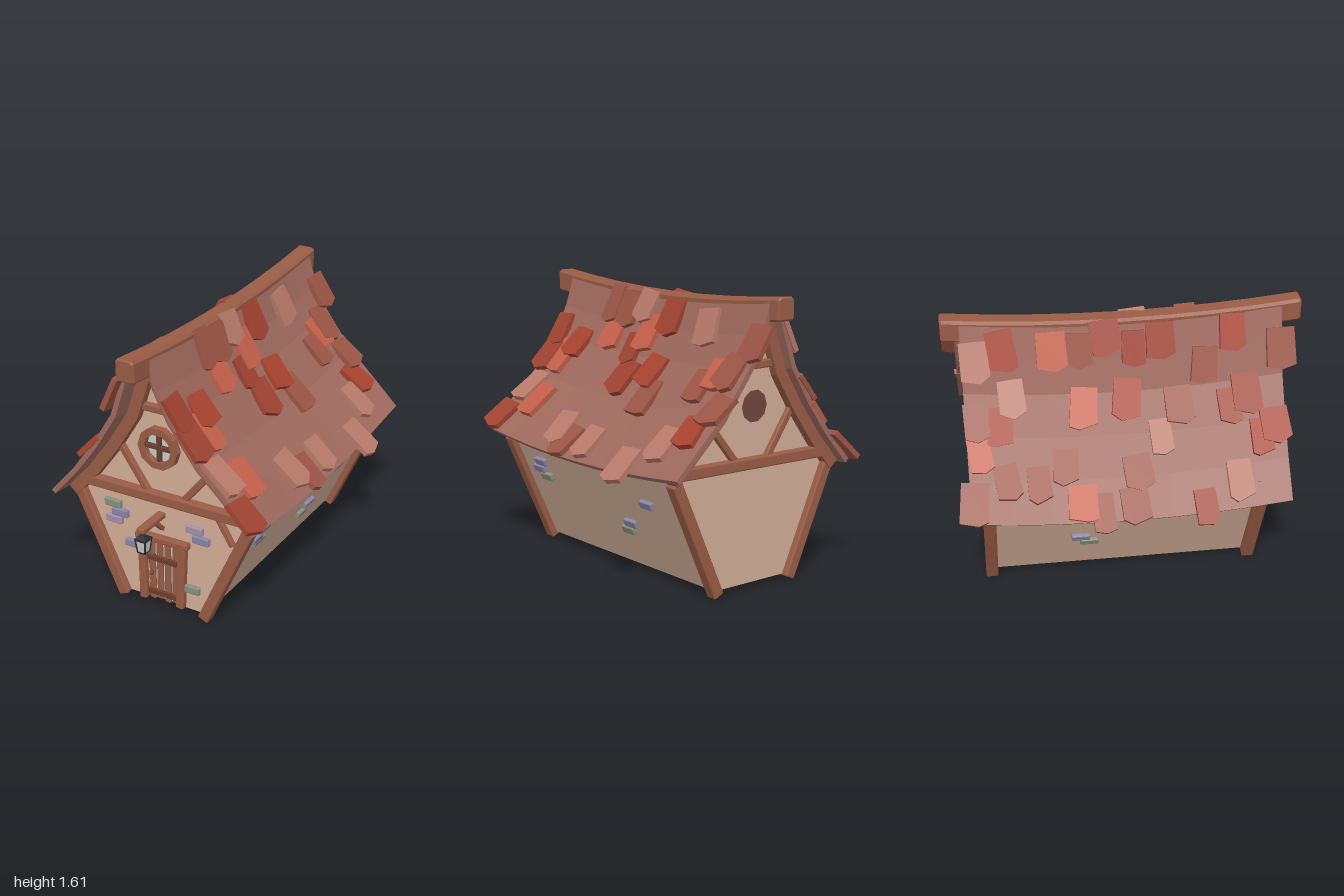
import * as THREE from 'three';
import { RoundedBoxGeometry } from 'three/addons/geometries/RoundedBoxGeometry.js';

const mat = (color, side = THREE.FrontSide) => new THREE.MeshStandardMaterial({ color, flatShading: true, side });
const wood = mat(0x9a5c46), darkWood = mat(0x6b3d2e), wall = mat(0xd2ae98, THREE.DoubleSide);
const roofMat = mat(0xa06a5e), glass = mat(0xc4cccc, THREE.DoubleSide), iron = mat(0x2c2c30);
const tileMats = [0xc4604a, 0xa04331, 0xb87a6a, 0x9c5545, 0xa8432f].map(c => mat(c));
const brickMats = [mat(0x8c84a6), mat(0x86907f), mat(0xa890aa)];

let seed = 7;
const rnd = (a, b) => { seed = (seed * 16807) % 2147483647; return a + (b - a) * seed / 2147483647; };
const sag = z => 0.055 * (1 - Math.min(1, (z / 0.9) ** 2));

// Roof slopes from ridge to eave
const V = (x, y) => new THREE.Vector2(x, y);
const slopes = {
  left: [V(-0.116, 1.59), V(-0.175, 1.4), V(-0.235, 1.22), V(-0.36, 1.02), V(-0.5, 0.83), V(-0.66, 0.65)],
  right: [V(-0.014, 1.59), V(0.045, 1.41), V(0.125, 1.25), V(0.29, 1.03), V(0.46, 0.87), V(0.615, 0.72)],
};

// Slope points moved along their outward normals
function offset(pts, d) {
  const s = Math.sign(pts[5].x);
  return pts.map((p, i) => {
    const t = pts[Math.min(i + 1, 5)].clone().sub(pts[Math.max(i - 1, 0)]).normalize();
    return V(p.x - t.y * s * d, p.y + t.x * s * d);
  });
}

export function createModel() {
  const house = new THREE.Group();
  house.name = 'cottage';
  const add = (name, geo, m, x = 0, y = 0, z = 0, parent = house) => {
    const mesh = new THREE.Mesh(geo, m);
    mesh.name = name;
    mesh.position.set(x, y, z);
    parent.add(mesh);
    return mesh;
  };
  const box = (w, h, d, r = 0.008) => new RoundedBoxGeometry(w, h, d, 1, r);
  // Timber between two points of a plane facing z
  const beam = (name, x1, y1, x2, y2, w, z, d) => {
    const b = add(name, box(Math.hypot(x2 - x1, y2 - y1), w, d), wood, (x1 + x2) / 2, (y1 + y2) / 2, z);
    b.rotation.z = Math.atan2(y2 - y1, x2 - x1);
  };
  // Curved, sagging slab that follows a roof slope
  const slab = (name, pts, z0, z1, top, bottom, segs, m) => {
    const geo = new THREE.BoxGeometry(1, 1, 1, 5, 1, segs), pos = geo.attributes.position;
    const outer = offset(pts, top), inner = offset(pts, bottom), right = pts[5].x > 0;
    for (let i = 0; i < pos.count; i++) {
      const k = Math.round((pos.getX(i) + 0.5) * 5);
      const p = (pos.getY(i) > 0 ? outer : inner)[right ? k : 5 - k];
      const z = z0 + (pos.getZ(i) + 0.5) * (z1 - z0);
      pos.setXYZ(i, p.x, p.y - sag(z), z);
    }
    geo.computeVertexNormals();
    add(name, geo, m);
  };

  // Gable walls with a round window opening, the front one with a doorway
  const inL = offset(slopes.left, -0.05), inR = offset(slopes.right, -0.05);
  const roofLine = [V(0.53, 0.68), ...inR.slice(1, 5).reverse(), V(-0.065, 1.47), ...inL.slice(1, 5), V(-0.56, 0.66)];
  const doorway = [V(-0.13, 0.03), V(-0.13, 0.42), V(0.09, 0.42), V(0.09, 0.03)];
  for (const [name, z, opening] of [['frontWall', 0.72, doorway], ['backWall', -0.79, []]]) {
    const gable = new THREE.Shape([V(-0.27, 0.03), ...opening, V(0.24, 0.03), ...roofLine]);
    gable.holes.push(new THREE.Path().absarc(-0.03, 1.01, 0.09, 0, Math.PI * 2, true));
    add(name, new THREE.ShapeGeometry(gable, 5), wall, 0, 0, z);
  }

  // Leaning side walls
  for (const [name, xb, xt, yt] of [['leftSideWall', 0.24, 0.54, 0.7], ['rightSideWall', -0.27, -0.57, 0.68]]) {
    const geo = new THREE.PlaneGeometry(1, 1), pos = geo.attributes.position;
    for (let i = 0; i < 4; i++) {
      const up = pos.getY(i) > 0;
      pos.setXYZ(i, up ? xt : xb, up ? yt : 0.03, pos.getX(i) > 0 ? 0.72 : -0.79);
    }
    geo.computeVertexNormals();
    add(name, geo, wall);
  }

  // Timber frame on both gables
  for (const [end, z] of [['front', 0.725], ['back', -0.795]]) {
    beam(end + 'RightPost', -0.283, 0.01, -0.575, 0.65, 0.066, z, 0.07);
    beam(end + 'LeftPost', 0.238, 0.01, 0.53, 0.67, 0.066, z, 0.07);
    beam(end + 'TieBeam', -0.575, 0.7, 0.565, 0.715, 0.062, z + Math.sign(z) * 0.006, 0.075);
    beam(end + 'CollarBeam', -0.16, 1.237, 0.07, 1.237, 0.045, z, 0.05);
    beam(end + 'RightStrut', -0.29, 0.98, -0.11, 0.72, 0.04, z, 0.045);
    beam(end + 'LeftStrut', 0.29, 0.94, 0.11, 0.72, 0.04, z, 0.045);
  }
  beam('kneeBrace', 0.33, 0.68, 0.42, 0.53, 0.035, 0.725, 0.04);

  // Roof slopes, barge boards and ridge beam
  slab('rightRoof', slopes.left, -0.89, 0.88, 0, -0.03, 8, roofMat);
  slab('leftRoof', slopes.right, -0.92, 0.84, 0, -0.03, 8, roofMat);
  for (const pts of Object.values(slopes)) {
    const board = [...pts.slice(0, 5), pts[4].clone().lerp(pts[5], 0.9)];
    slab('frontBargeBoard', board, 0.695, 0.768, -0.03, -0.098, 1, wood);
    slab('backBargeBoard', board, -0.838, -0.765, -0.03, -0.098, 1, wood);
  }
  const section = new THREE.Shape([V(-0.044, -0.055), V(0.044, -0.055), V(0.048, -0.05), V(0.048, 0.045),
    V(0.038, 0.055), V(-0.038, 0.055), V(-0.048, 0.045), V(-0.048, -0.05)]);
  const ridge = new THREE.ExtrudeGeometry(section,
    { depth: 1.96, steps: 8, bevelSize: 0.008, bevelThickness: 0.012, bevelSegments: 1 });
  ridge.translate(0, 0, -0.98);
  const rp = ridge.attributes.position;
  for (let i = 0; i < rp.count; i++) rp.setY(i, rp.getY(i) + 0.055 * rp.getZ(i) ** 2);
  ridge.computeVertexNormals();
  add('ridgeBeam', ridge, wood, -0.064, 1.492, 0);

  // Scattered roof tiles: [z, height] on the left slope, [z, x] on the right slope
  const leftTiles = [[.36, 1.45], [.22, 1.43], [.07, 1.46], [-.17, 1.42], [-.49, 1.4], [-.01, 1.32], [.3, 1.28],
    [.78, 1.26], [-.91, 1.36], [.78, 1.11], [.65, 1.12], [.58, 1.2], [.04, 1.07], [.08, 1.22], [-.17, 1.13],
    [-.24, 1], [-.62, 1.11], [-.72, 1.18], [-.8, 1.2], [-.85, 1.02], [-.78, .91], [-.64, .83], [-.44, .7],
    [-.05, .75], [.13, .73], [.24, .78], [.61, .88], [.75, .94], [.81, .78]];
  const rightTiles = [[-.87, -.59], [-.82, -.42], [-.7, -.33], [-.82, -.18], [-.83, -.32], [-.67, -.16], [-.68, -.51],
    [-.51, -.52], [-.63, -.25], [-.36, -.46], [-.28, -.59], [-.24, -.28], [-.25, -.16], [-.4, -.16], [-.17, -.63],
    [.01, -.61], [.04, -.49], [0, -.26], [-.1, -.14], [.05, -.16], [.18, -.38], [.29, -.29], [.2, -.15],
    [.44, -.2], [.4, -.64], [.6, -.56], [.57, -.31], [.6, -.15], [.67, -.28], [.82, -.39], [.74, -.42], [.87, -.19]];
  const tile = (pts, key, v, z) => {
    let i = 0;
    while (i < 4 && Math.abs(pts[i + 1][key] - pts[0][key]) < Math.abs(v - pts[0][key])) i++;
    const a = pts[i], b = pts[i + 1];
    const p = a.clone().lerp(b, THREE.MathUtils.clamp((v - a[key]) / (b[key] - a[key]), 0, 1.2));
    const w = rnd(0.06, 0.085), l = rnd(0.1, 0.12);
    const shape = new THREE.Shape([V(-w * 0.95, l), V(-w, -l + rnd(0.01, 0.04)), V(rnd(-0.03, 0.03), -l),
      V(w, -l + rnd(0.01, 0.04)), V(w * 0.95, l)]);
    const geo = new THREE.ExtrudeGeometry(shape, { depth: 0.03, bevelEnabled: false });
    geo.rotateX(-rnd(0.06, 0.17)).rotateZ(rnd(-0.15, 0.15));
    const up = new THREE.Vector3(a.x - b.x, a.y - b.y, 0).normalize(), s = Math.sign(b.x - a.x);
    const n = new THREE.Vector3(up.y * s, -up.x * s, 0);
    const m = new THREE.Matrix4().makeBasis(up.clone().cross(n), up, n);
    m.setPosition(p.x, p.y - sag(z), z);
    add('roofTile', geo.applyMatrix4(m), tileMats[Math.floor(rnd(0, 4.99))]);
  };
  leftTiles.forEach(([z, y]) => tile(slopes.right, 'y', y + sag(z), z));
  rightTiles.forEach(([z, x]) => tile(slopes.left, 'x', x, z));

  // Round window
  const ring = new THREE.Shape().absarc(0, 0, 0.125, 0, Math.PI * 2);
  ring.holes.push(new THREE.Path().absarc(0, 0, 0.085, 0, Math.PI * 2, true));
  add('windowFrame', new THREE.ExtrudeGeometry(ring, { depth: 0.05, curveSegments: 5, bevelEnabled: false }),
    wood, -0.03, 1.01, 0.71);
  add('windowPane', new THREE.CircleGeometry(0.1, 10), glass, -0.03, 1.01, 0.725);
  add('windowBar', box(0.025, 0.18, 0.025, 0.004), darkWood, -0.03, 1.01, 0.737);
  add('windowBar', box(0.18, 0.025, 0.025, 0.004), darkWood, -0.03, 1.01, 0.735);

  // Door, with an eight-sided panel behind it
  add('doorBacking', new THREE.CircleGeometry(0.34, 8, Math.PI / 8), glass, 0, 0.335, 0.697);
  beam('doorPost', -0.155, 0.025, -0.16, 0.425, 0.045, 0.73, 0.05);
  beam('doorPost', 0.085, 0.03, 0.105, 0.425, 0.05, 0.73, 0.05);
  beam('doorLintel', -0.195, 0.435, 0.145, 0.443, 0.04, 0.73, 0.06);
  for (let i = 0; i < 4; i++)
    beam('doorPlank', -0.1 + i * 0.049, 0.03 + 0.01 * (i % 2), -0.104 + i * 0.052, 0.415, 0.039, 0.725, 0.02);
  for (const y of [0.085, 0.308]) add('doorBatten', box(0.19, 0.034, 0.02, 0.004), darkWood, -0.03, y, 0.738);
  add('doorKnob', new THREE.IcosahedronGeometry(0.013, 1), darkWood, -0.1, 0.205, 0.742);

  // Lantern on a bracket
  add('lanternArm', box(0.05, 0.032, 0.22), wood, -0.02, 0.608, 0.85);
  add('lanternArmBrace', box(0.03, 0.025, 0.12, 0.005), wood, -0.02, 0.56, 0.785).rotation.x = -Math.PI / 4;
  const lantern = new THREE.Group();
  lantern.name = 'lantern';
  lantern.position.set(-0.02, 0, 0.93);
  house.add(lantern);
  const frustum = (name, r1, r2, h, y, m) =>
    add(name, new THREE.CylinderGeometry(r1, r2, h, 4).rotateY(Math.PI / 4), m, 0, y, 0, lantern);
  frustum('lanternHook', 0.006, 0.006, 0.04, 0.582, iron);
  frustum('lanternCap', 0.018, 0.05, 0.02, 0.563, iron);
  frustum('lanternRim', 0.05, 0.05, 0.01, 0.55, iron);
  frustum('lanternGlass', 0.043, 0.032, 0.08, 0.508, glass);
  frustum('lanternBase', 0.034, 0.032, 0.01, 0.47, iron);
  for (const sx of [-1, 1]) for (const sz of [-1, 1]) {
    const bar = add('lanternBar', new THREE.BoxGeometry(0.007, 0.08, 0.007), iron, sx * 0.027, 0.508, sz * 0.027, lantern);
    bar.rotation.set(sz * 0.1, 0, -sx * 0.1);
  }

  // Exposed bricks
  const brick = (x, y, z, turn, lean, c) =>
    add('brick', box(0.105, 0.046, 0.045, 0.006), brickMats[c], x, y, z).rotation.set(lean, turn, 0, 'YXZ');
  [[-.35, .58, 1], [-.305, .53, 0], [-.345, .48, 2], [.18, .56, 2], [.22, .505, 0], [-.22, .355, 0], [.155, .17, 1]]
    .forEach(([x, y, c]) => brick(x, y, 0.722, 0, 0, c));
  [[.49, .55, 0], [.535, .5, 0], [.49, .455, 1], [-.47, .48, 0], [-.235, .315, 0], [-.19, .265, 1]]
    .forEach(([z, y, c]) => brick(0.24 + (y - 0.03) * 0.45, y, z, Math.PI / 2, 0.42, c));
  [[-.28, .32, 0], [-.23, .27, 1], [.4, .5, 0], [.45, .45, 1]]
    .forEach(([z, y, c]) => brick(-0.27 - (y - 0.03) * 0.46, y, z, -Math.PI / 2, 0.42, c));

  return house;
}
